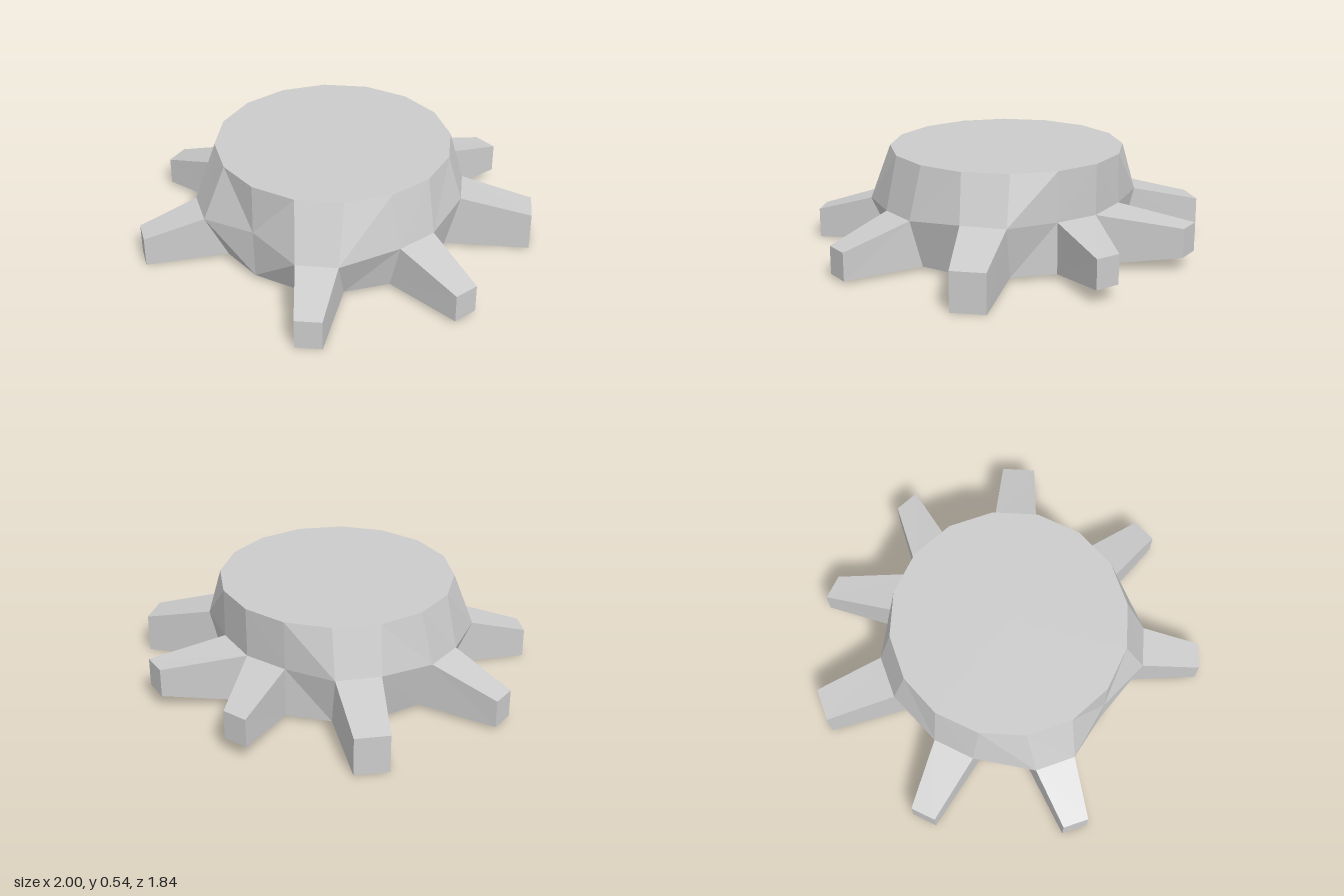
import * as THREE from 'three';

const material = new THREE.MeshStandardMaterial({ color: 0xcccccc, flatShading: true });
const RADIUS = 0.605, CENTRE_Z = 0.035, TOP = 0.54, BOTTOM = 0.02;

// Sixteen-sided outline, walked from the back (0) to the front (8) along the left half
const ring = (i, y) => {
  const a = (i * Math.PI) / 8;
  return [RADIUS * Math.sin(a), y, CENTRE_Z - RADIUS * Math.cos(a)];
};
const top = [], bottom = [];
for (let i = 0; i <= 8; i++) {
  top.push(ring(i, TOP));
  bottom.push(ring(i, BOTTOM));
}
// Bulging waist where the legs join
const waist = [
  [0, 0.28, -0.57], [0.235, 0.285, -0.525], [0.49, 0.29, -0.43],
  [0.615, 0.295, -0.24], [0.665, 0.265, 0.06], [0.625, 0.265, 0.275],
  [0.48, 0.245, 0.565], [0.305, 0.245, 0.68], [0, 0.278, 0.645],
];

// Leg tips: the two end edges seen from above, with their low and high y
const legs = [
  { name: 'backLeg', face: 0, a: [0.255, -0.92], b: [0.385, -0.895], low: 0.075, high: 0.225 },
  { name: 'rearSideLeg', face: 2, a: [0.81, -0.61], b: [0.905, -0.465], low: 0, high: 0.2 },
  { name: 'sideLeg', face: 4, a: [1.0, 0.165], b: [0.975, 0.295], low: 0.015, high: 0.16 },
  { name: 'frontLeg', face: 6, a: [0.615, 0.84], b: [0.505, 0.915], low: 0, high: 0.155 },
];

// Collects flat polygons, mirrored in x when side is -1
function faceList() {
  const positions = [];
  return {
    add(side, ...corners) {
      const p = corners.map(([x, y, z]) => [x * side, y, z]);
      for (let k = 1; k < p.length - 1; k++) {
        const tri = side > 0 ? [p[0], p[k], p[k + 1]] : [p[0], p[k + 1], p[k]];
        positions.push(...tri.flat());
      }
    },
    mesh(name) {
      const g = new THREE.BufferGeometry();
      g.setAttribute('position', new THREE.Float32BufferAttribute(positions, 3));
      g.computeVertexNormals();
      const m = new THREE.Mesh(g, material);
      m.name = name;
      return m;
    },
  };
}

function createBody() {
  const f = faceList();
  for (const s of [1, -1]) {
    for (let i = 0; i < 8; i++) {
      const j = i + 1;
      f.add(s, waist[j], waist[i], top[i], top[j]);
      // Lower walls fill only the gaps between legs
      if (i % 2 === 1) f.add(s, bottom[j], bottom[i], waist[i], waist[j]);
      f.add(s, [0, TOP, CENTRE_Z], top[j], top[i]);
      f.add(s, [0, BOTTOM, CENTRE_Z], bottom[i], bottom[j]);
    }
  }
  return f.mesh('body');
}

function createLeg({ name, face, a, b, low, high }, s) {
  const f = faceList();
  const wa = waist[face], wb = waist[face + 1];
  const ba = bottom[face], bb = bottom[face + 1];
  const tip = ([x, z], y) => [x, y, z];
  const aLow = tip(a, low), aHigh = tip(a, high);
  const bLow = tip(b, low), bHigh = tip(b, high);
  f.add(s, bHigh, aHigh, wa, wb); // upper side
  f.add(s, bLow, aLow, aHigh, bHigh); // end
  f.add(s, bb, ba, aLow, bLow); // underside
  f.add(s, aLow, ba, wa, aHigh); // flanks
  f.add(s, bb, bLow, bHigh, wb);
  return f.mesh((s > 0 ? 'left ' : 'right ') + name);
}

export function createModel() {
  const group = new THREE.Group();
  group.name = 'leggedBase';
  group.add(createBody());
  for (const leg of legs) for (const s of [1, -1]) group.add(createLeg(leg, s));
  return group;
}
